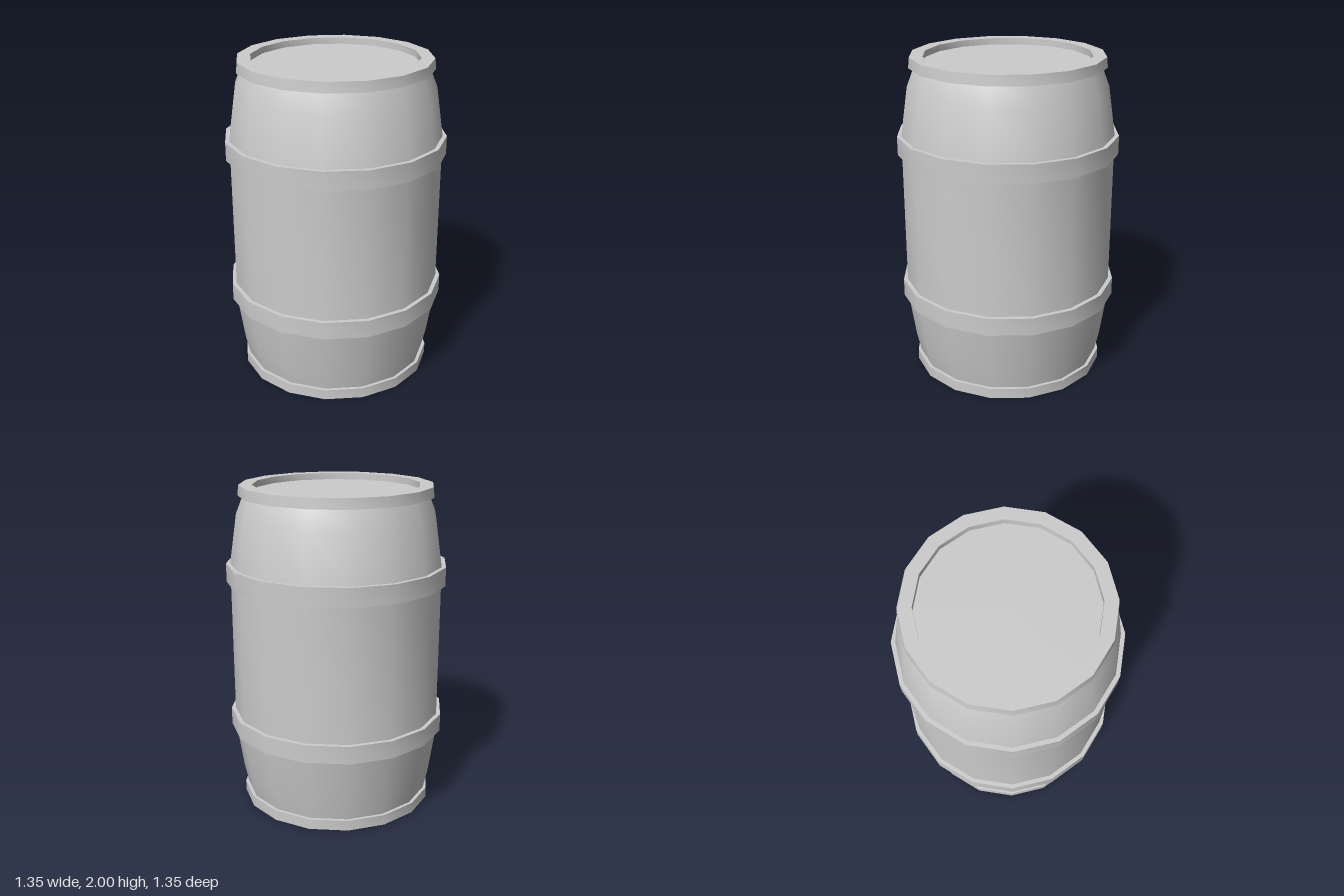
import * as THREE from 'three';
import { toCreasedNormals } from 'three/addons/utils/BufferGeometryUtils.js';

const SIDES = 16;
const BODY_R = 0.65, HOOP_R = 0.676;
const LOW = [0.477, 0.588], HIGH = [1.415, 1.53]; // hoop bottom and top heights

export function createModel() {
  const barrel = new THREE.Group();
  barrel.name = 'barrel';
  const material = new THREE.MeshStandardMaterial({ color: 0xcccccc, side: THREE.DoubleSide });

  // Revolve a [radius, height] profile, listed from bottom to top of the outside
  const turn = (name, profile) => {
    const points = profile.map(([r, y]) => new THREE.Vector2(r, y));
    const geometry = toCreasedNormals(new THREE.LatheGeometry(points, SIDES), Math.PI / 6);
    const mesh = new THREE.Mesh(geometry, material);
    mesh.name = name;
    barrel.add(mesh);
  };

  // Open bottom rim with a ledge up to the wall
  turn('bottomRim', [[0.602, 0], [0.602, 0.065], [0.582, 0.065]]);

  // Wall sections between the hoops
  turn('lowerWall', [[0.582, 0.065], [0.608, 0.185], [BODY_R, LOW[0]]]);
  turn('middleWall', [[BODY_R, LOW[1]], [BODY_R, HIGH[0]]]);
  turn('upperWall', [[BODY_R, HIGH[1]], [0.605, 1.83], [0.562, 1.938]]);

  // Hoops are hollow channels, open to the inside
  for (const [name, [bottom, top]] of [['lowerHoop', LOW], ['upperHoop', HIGH]]) {
    turn(name, [[BODY_R, bottom], [HOOP_R, bottom], [HOOP_R, top], [BODY_R, top]]);
  }

  // Top rim, folding inward and down to the recessed lid
  const lidR = 0.506, lidY = 1.96;
  turn('topRim', [[0.562, 1.938], [0.592, 1.938], [0.586, 2], [lidR, 2], [lidR, lidY]]);

  const lid = new THREE.Mesh(new THREE.CircleGeometry(lidR, SIDES), material);
  lid.name = 'lid';
  lid.rotation.x = -Math.PI / 2;
  lid.position.y = lidY;
  barrel.add(lid);

  return barrel;
}
